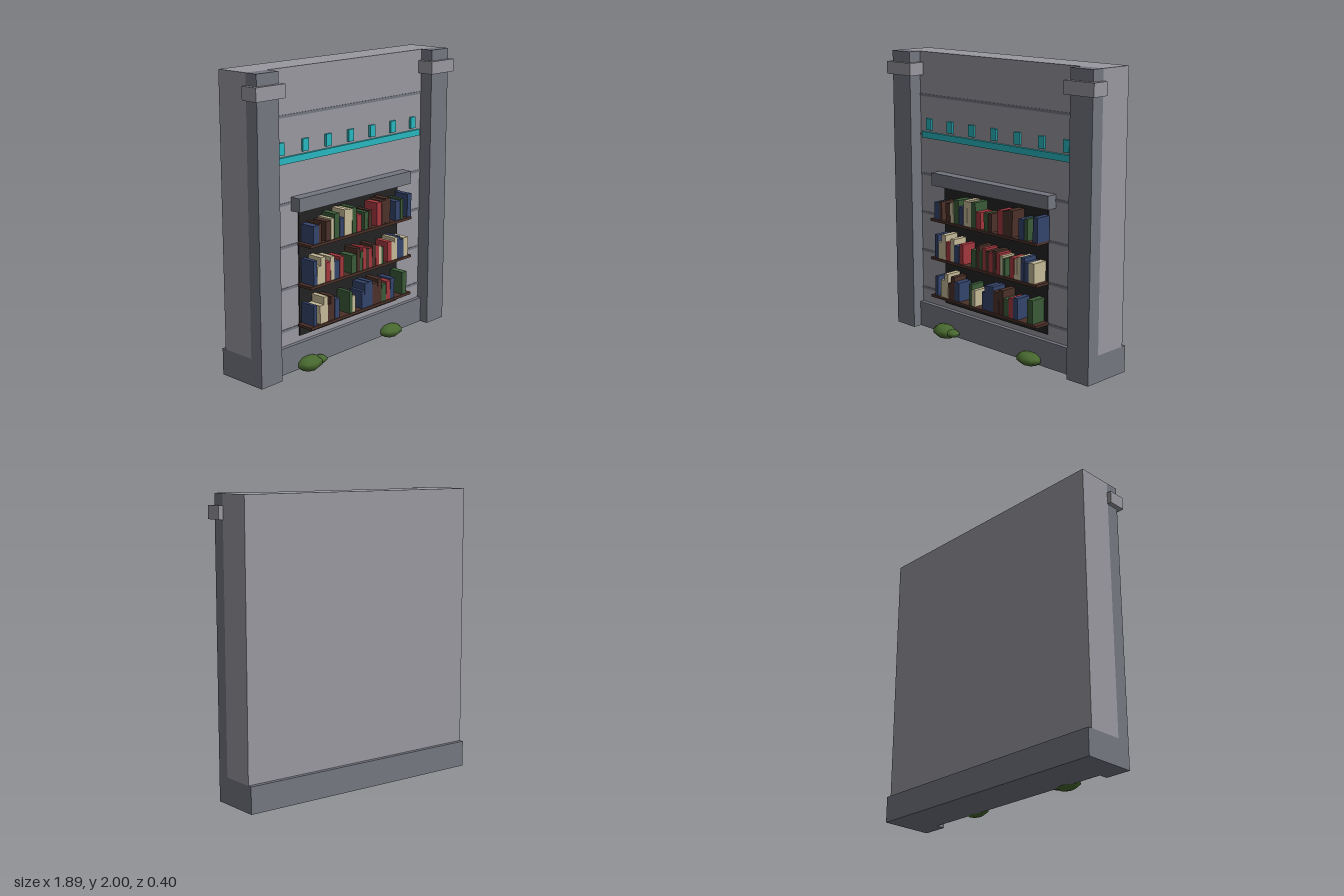
import * as THREE from 'three';

const mat = (name, color) => {
  const m = new THREE.MeshStandardMaterial({ color });
  m.name = name;
  return m;
};

export function createModel() {
  const root = new THREE.Group();
  root.name = 'bookshelfWall';

  const stone = mat('light stone', 0x98989f);
  const slate = mat('dark stone', 0x747680);
  const teal = mat('teal', 0x28b6be);
  const black = mat('niche black', 0x222222);
  const brown = mat('brown', 0x4a3028);
  const red = mat('book red', 0xa2383e);
  const cream = mat('book cream', 0xc4b896);
  const green = mat('book green', 0x3a5a38);
  const blue = mat('book blue', 0x33436a);
  const moss = mat('moss', 0x48682f);

  // Box given by its two extreme corners
  const box = (name, m, x0, x1, y0, y1, z0, z1, parent = root) => {
    const mesh = new THREE.Mesh(new THREE.BoxGeometry(x1 - x0, y1 - y0, z1 - z0), m);
    mesh.position.set((x0 + x1) / 2, (y0 + y1) / 2, (z0 + z1) / 2);
    mesh.name = name;
    parent.add(mesh);
    return mesh;
  };

  // Wall slab on a wider plinth
  box('wall', stone, -0.913, 0.913, 0.2, 2, -0.17, 0.07);
  box('plinth', slate, -0.913, 0.913, 0.02, 0.2, -0.2, 0.1);

  // Horizontal masonry seams
  for (let i = 0; i < 6; i++) {
    const y = 0.305 + i * 0.279;
    box('seam', slate, -0.735, 0.735, y - 0.009, y + 0.009, 0.07, 0.074);
  }

  // Corner pillars with collars
  for (const s of [-1, 1]) {
    const side = s > 0 ? 'left' : 'right';
    const c = s * 0.823;
    box(side + 'Pillar', slate, c - 0.09, c + 0.09, 0.02, 2, 0.07, 0.163);
    box(side + 'Collar', stone, c - 0.121, c + 0.121, 1.838, 1.925, 0.068, 0.19);
  }

  // Teal ledge and the row of small plates above it
  box('tealLedge', teal, -0.703, 0.703, 1.402, 1.445, 0.07, 0.088);
  for (let i = -3; i <= 3; i++) {
    const x = i * 0.2125;
    box('tealPlate', teal, x - 0.026, x + 0.026, 1.46, 1.54, 0.07, 0.085);
  }

  // Niche backing and lintel
  box('nicheBack', black, -0.488, 0.486, 0.238, 1.1, 0.07, 0.078);
  box('lintel', slate, -0.548, 0.546, 1.09, 1.18, 0.07, 0.145);

  // Books: left edge, width, height (hundredths of a unit), colour
  const topRow = [
    [-47, 5, 12, blue], [-42, 2.5, 13, brown], [-35.5, 4.3, 13, brown], [-31, 3, 14, cream],
    [-27.5, 4.8, 16.5, green], [-22.5, 4, 12.5, blue], [-18, 3.7, 17.5, cream], [-14.2, 3.6, 17, cream],
    [-10.5, 4, 17.5, green], [-6, 4.3, 11.5, red], [1.5, 3.7, 12, green], [5.7, 3.2, 12.5, brown],
    [14.2, 4.6, 16, red], [19, 3.6, 16.5, brown], [22.7, 5, 17.5, brown], [33.3, 4.6, 13.5, blue],
    [38.4, 2.8, 14.3, green], [45.8, 4.2, 16.5, blue],
  ];
  const middleRow = [
    [-47, 3.2, 16.5, blue], [-43.5, 3.2, 12, cream], [-40.2, 4.2, 17.5, cream], [-35.8, 4.5, 13, red],
    [-31.2, 3.6, 16, cream], [-27.5, 4.8, 12, blue], [-22.2, 3.7, 14, red], [-11, 4.6, 12.3, green],
    [-5.8, 3, 16, brown], [-2.6, 2.5, 13, green], [0, 3, 15.5, red], [3.2, 3, 14, brown],
    [6.3, 3.1, 13.5, red], [9.5, 3.6, 15.5, brown], [13.2, 3.1, 14.3, red], [16.4, 2.5, 13, cream],
    [19, 2.2, 11.8, green], [25.4, 4, 14, red], [29.6, 2.6, 13.5, cream], [32.3, 3, 15.5, cream],
    [35.4, 3.1, 15.8, blue], [38.6, 3.6, 13, blue], [42.4, 4.6, 13.5, cream],
  ];
  const bottomRow = [
    [-47, 2.6, 14, blue], [-41.2, 3.6, 12.4, cream], [-37.5, 3.6, 17.5, cream], [-33.8, 2.6, 11.4, brown],
    [-31.1, 3.6, 16.5, brown], [-27.4, 4.6, 13.4, blue], [-13.2, 3, 15, green], [-10, 2.6, 11.4, cream],
    [-0.5, 2.5, 12.4, blue], [2.1, 4.2, 17.2, blue], [6.4, 3.6, 17.6, blue], [10.1, 5.1, 15, brown],
    [15.4, 4.1, 17.2, brown], [19.6, 4.6, 12, green], [24.4, 4.1, 13.5, red], [28.6, 4.2, 14.5, blue],
    [41.2, 4.7, 16, green],
  ];
  const shelves = [[0.855, topRow], [0.58, middleRow], [0.307, bottomRow]];
  for (const [y, row] of shelves) {
    const shelf = new THREE.Group();
    shelf.name = 'shelf';
    root.add(shelf);
    box('shelfBoard', brown, -0.503, 0.498, y, y + 0.018, 0.078, 0.197, shelf);
    for (const [x, w, h, m] of row) {
      box('book', m, x / 100, (x + w) / 100, y + 0.018, y + 0.018 + h / 100, 0.078, 0.19, shelf);
    }
  }

  // Moss clumps at the foot of the wall
  const clump = (x, y, z, rx, ry, rz) => {
    const mesh = new THREE.Mesh(new THREE.SphereGeometry(1, 8, 5), moss);
    mesh.scale.set(rx, ry, rz);
    mesh.position.set(x, y, z);
    mesh.name = 'mossClump';
    root.add(mesh);
  };
  clump(-0.445, 0.05, 0.125, 0.1, 0.05, 0.075);
  clump(-0.355, 0.055, 0.135, 0.05, 0.027, 0.045);
  clump(0.37, 0.055, 0.125, 0.1, 0.045, 0.07);

  return root;
}
